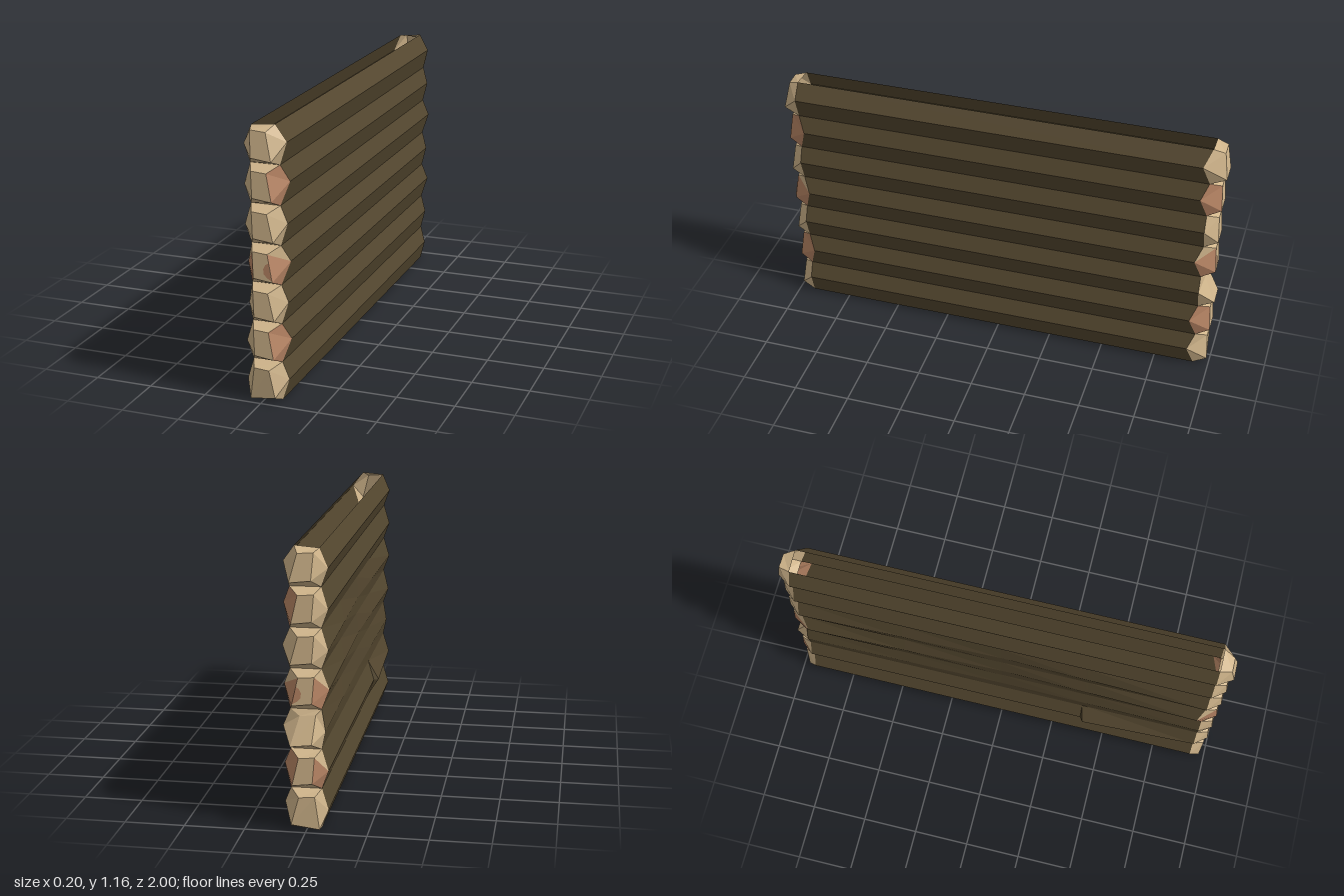
import * as THREE from 'three';

const material = (name, color) => {
  const m = new THREE.MeshStandardMaterial({ color, side: THREE.DoubleSide, flatShading: true });
  m.name = name;
  return m;
};

// Collects polygons (convex, counter-clockwise) into one flat-shaded mesh
class Faces {
  constructor() { this.pos = []; }
  add(points, flip = false) {
    const p = flip ? [...points].reverse() : points;
    for (let i = 1; i < p.length - 1; i++) this.pos.push(...p[0], ...p[i], ...p[i + 1]);
  }
  mesh(name, mat) {
    const g = new THREE.BufferGeometry();
    g.setAttribute('position', new THREE.Float32BufferAttribute(this.pos, 3));
    g.computeVertexNormals();
    const m = new THREE.Mesh(g, mat);
    m.name = name;
    return m;
  }
}

const LOGS = 7;
const STEP = 1 / 6;
const neckY = (k) => k * STEP;
// Neck between logs: narrower on the topmost edge
const neck = (k, side) => (k === LOGS
  ? (side > 0 ? [0.05, 1.163] : [-0.05, 1.155])
  : [side > 0 ? 0.07 : -0.057, neckY(k)]);

// How far each ridge runs along z before the cut end starts
const ridgeEnd = (k, end, side) => {
  if (side < 0) return k === 3 ? 0.905 : 0.93;
  return k % 2 || (end < 0 && (k === 0 || k === 6)) ? 0.9 : 0.93;
};

// Ridge depth along the worn left side; log 1 has one splinter
function ridgeX(k, side, z) {
  if (side > 0) return 0.1;
  const t = 1 - Math.min(1, Math.abs(z) / 0.93);
  if (k === 1) return z >= 0.395 ? -0.105 + 0.02 * (z - 0.4) / 0.53 : -0.084;
  if (k === 2) return -0.072 + 0.008 * t;
  if (k === 3 || k === 4) return -0.084 + 0.02 * t;
  return -0.084;
}
const ridgeY = (k, side) => neckY(k) + (side > 0 ? 0.095 : 0.075);

// One long faceted side of the wall
function buildSide(side, mat, name) {
  const faces = new Faces();
  const stations = side > 0 ? [-0.93, 0.93] : [-0.93, -0.45, 0, 0.385, 0.4, 0.93];
  for (let k = 0; k < LOGS; k++) {
    for (let i = 0; i < stations.length - 1; i++) {
      const section = (z) => {
        const end = Math.sign(z) || 1;
        const rz = Math.abs(z) > 0.9 ? end * ridgeEnd(k, end, side) : z;
        return [
          [...neck(k, side), z],
          [ridgeX(k, side, z), ridgeY(k, side), rz],
          [...neck(k + 1, side), z],
        ];
      };
      const a = section(stations[i]);
      const b = section(stations[i + 1]);
      for (let j = 0; j < 2; j++) faces.add([a[j], a[j + 1], b[j + 1], b[j]], side < 0);
    }
  }
  return faces.mesh(name, mat);
}

// Chipped cut end of one log: a small face with facets down to the ring
function addCap(k, end, wood, raw) {
  const y = neckY(k);
  const flip = end < 0;
  const pointed = flip && k === 2;
  const at = (x, dy, z) => [x, y + dy, end * z];
  const ring = (n, side) => [...neck(n, side), end * 0.93];
  const ridge = (side) => [ridgeX(k, side, end * 0.93), ridgeY(k, side), end * ridgeEnd(k, end, side)];

  const tip = k === 6 || pointed ? 1 : 0.99;
  const TL = at(-0.035, 0.145, pointed ? 0.945 : 0.98);
  const TR = at(0.03, 0.14, pointed ? 0.945 : 0.98);
  const BL = k === 0 ? at(-0.054, 0.006, 0.975) : at(-0.027, 0.037, tip);
  const BR = at(k % 2 ? 0.055 : 0.06, 0.027, tip);
  const [nbL, nbR, ntL, ntR] = [ring(k, -1), ring(k, 1), ring(k + 1, -1), ring(k + 1, 1)];
  const [rL, rR] = [ridge(-1), ridge(1)];

  // Face, bottom and top chamfers
  wood.add([BL, BR, TR, TL], flip);
  wood.add([nbL, nbR, BR, BL], flip);
  wood.add([TL, TR, ntR, ntL], flip);
  // Side chips show raw reddish wood on some logs
  const right = k % 2 ? raw : wood;
  const left = k === 3 || (flip && k === 1) ? raw : wood;
  right.add([nbR, rR, BR], flip);
  right.add([rR, TR, BR], flip);
  (k === 3 ? wood : right).add([rR, ntR, TR], flip);
  left.add([BL, TL, rL], flip);
  left.add([nbL, BL, rL], flip);
  wood.add([rL, TL, ntL], flip);

  // Rounded stain reaching onto the face of the middle log
  if (k === 3) {
    const lift = (x, dy) => at(x, dy, 0.9925 - 0.0885 * (dy - 0.03));
    raw.add([lift(0.053, 0.035), lift(0.037, 0.105), lift(0.024, 0.097),
      lift(0.016, 0.08), lift(0.018, 0.06), lift(0.033, 0.045)], flip);
  }
}

export function createModel() {
  const bark = material('dark bark', 0x54472f);
  const cut = material('cut wood', 0xd0b58b);
  const red = material('reddish wood', 0xb98665);

  const model = new THREE.Group();
  model.name = 'logWall';
  model.add(buildSide(1, bark, 'leftBarkSide'), buildSide(-1, bark, 'rightBarkSide'));

  for (const end of [1, -1]) {
    const wood = new Faces();
    const raw = new Faces();
    for (let k = 0; k < LOGS; k++) addCap(k, end, wood, raw);
    const group = new THREE.Group();
    group.name = end > 0 ? 'frontLogEnds' : 'backLogEnds';
    group.add(wood.mesh('cutEnds', cut), raw.mesh('reddishChips', red));
    model.add(group);
  }
  return model;
}
